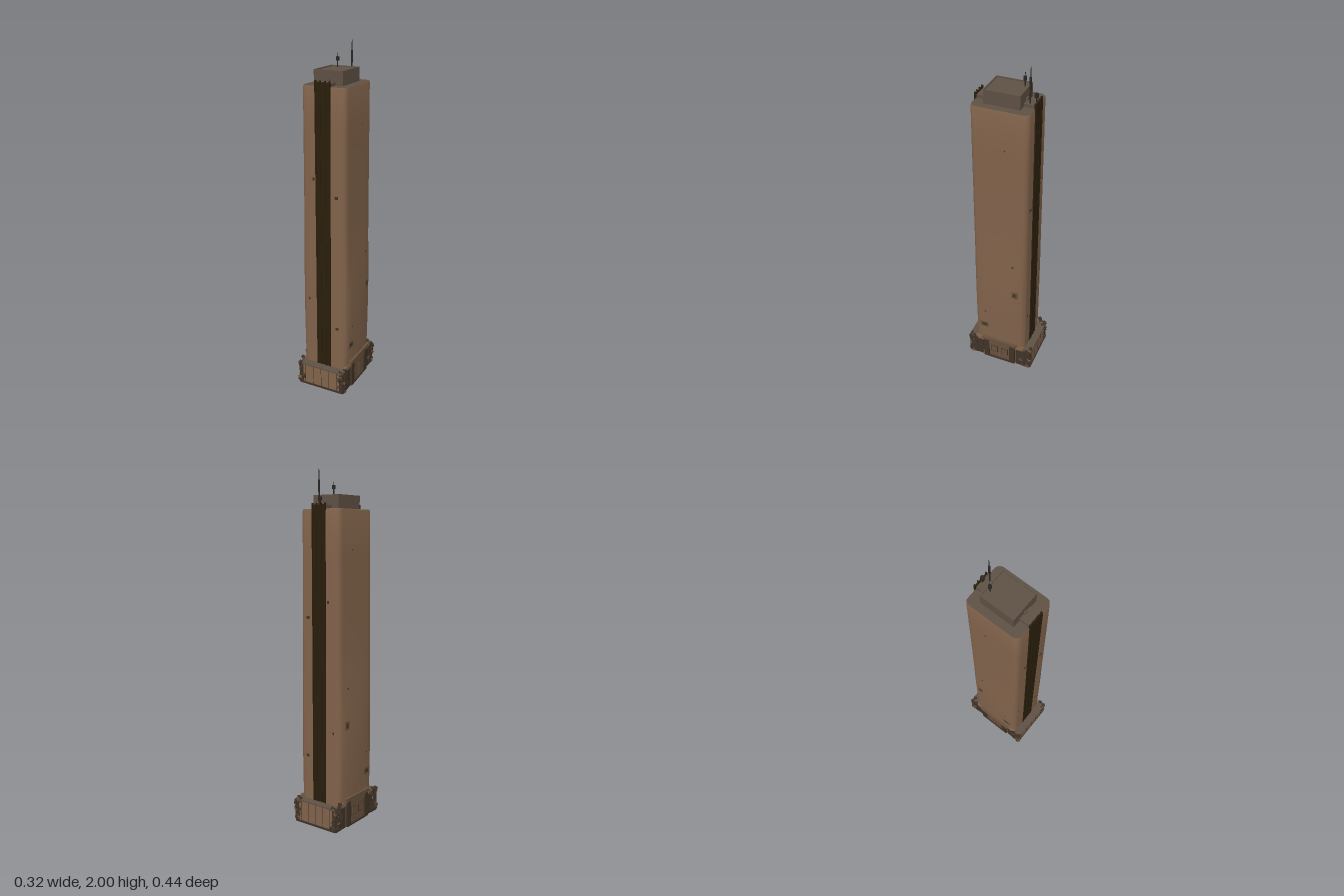
import * as THREE from 'three';
import { toCreasedNormals } from 'three/addons/utils/BufferGeometryUtils.js';

const mat = (name, color, side = THREE.FrontSide) => {
  const m = new THREE.MeshStandardMaterial({ color, side });
  m.name = name;
  return m;
};

export function createModel() {
  const stone = mat('brown stone', 0x80624a, THREE.DoubleSide);
  const roofGrey = mat('roof grey', 0x5e5044);
  const glass = mat('dark glass', 0x291e0c);
  const rubbleDark = mat('dark rubble', 0x3f3227);
  const doorBrown = mat('door brown', 0x66503c);
  const metal = mat('dark metal', 0x2a2622);

  const root = new THREE.Group();
  root.name = 'tower';
  const add = (name, geo, material, x = 0, y = 0, z = 0, parent = root) => {
    const m = new THREE.Mesh(geo, material);
    m.name = name;
    m.position.set(x, y, z);
    parent.add(m);
    return m;
  };
  // Box given by its limits
  const box = (name, material, x0, x1, y0, y1, z0, z1, parent = root) =>
    add(name, new THREE.BoxGeometry(x1 - x0, y1 - y0, z1 - z0), material,
      (x0 + x1) / 2, (y0 + y1) / 2, (z0 + z1) / 2, parent);

  // Shaft: rounded rectangles whose side walls swell outwards low down
  const rows = [ // y, half width, half depth, side bulge
    [0.02, 0.133, 0.163, 0.006], [0.15, 0.135, 0.163, 0.008], [0.3, 0.137, 0.163, 0.011],
    [0.45, 0.138, 0.163, 0.014], [0.6, 0.138, 0.163, 0.014], [0.75, 0.137, 0.163, 0.009],
    [0.9, 0.135, 0.162, 0.004], [1.05, 0.134, 0.162, 0.001], [1.3, 0.133, 0.161, 0],
    [1.55, 0.131, 0.161, 0], [1.78, 0.13, 0.16, 0], [1.79, 0.127, 0.157, 0],
  ];
  const ring = (w, d, bulge) => {
    const pts = [], r = 0.032, corners = [[1, 1], [-1, 1], [-1, -1], [1, -1]];
    corners.forEach(([sx, sz], c) => {
      for (let i = 0; i <= 6; i++) {
        const a = (c + i / 6) * Math.PI / 2;
        pts.push([sx * (w - r) + r * Math.cos(a), sz * (d - r) + r * Math.sin(a)]);
      }
      // Extra points along the straight wall that follows
      const end = c % 2 ? [-w, 1 - 2 * (c === 1)] : null;
      if (end) for (let i = 1; i < 8; i++) {
        const t = 1 - 2 * i / 8, s = c === 1 ? 1 : -1;
        pts.push([-s * w, s * t * (d - r)]);
      }
    });
    return pts.map(([x, z]) => [x + Math.sign(x) * bulge * Math.max(0, 1 - (z / d) ** 2)
      * Math.min(1, Math.abs(x) / w) ** 4, z]);
  };
  const pos = [], idx = [];
  const n = ring(0.13, 0.16, 0).length;
  rows.forEach(([y, w, d, b]) => ring(w, d, b).forEach(([x, z]) => pos.push(x, y, z)));
  for (let j = 0; j < rows.length - 1; j++) for (let i = 0; i < n; i++) {
    const a = j * n + i, b = j * n + (i + 1) % n;
    idx.push(a, a + n, b, b, a + n, b + n);
  }
  let shaft = new THREE.BufferGeometry();
  shaft.setAttribute('position', new THREE.Float32BufferAttribute(pos, 3));
  shaft.setIndex(idx);
  shaft = toCreasedNormals(shaft, 0.6);
  add('shaft', shaft, stone);

  // Roof deck with the same rounded outline
  const deck = new THREE.Shape(ring(0.127, 0.157, 0).map(([x, z]) => new THREE.Vector2(x, -z)));
  add('roofDeck', new THREE.ShapeGeometry(deck).rotateX(-Math.PI / 2), roofGrey, 0, 1.79, 0);

  // Plant room with a low parapet
  box('plantRoom', roofGrey, -0.085, 0.085, 1.788, 1.86, -0.098, 0.1);
  for (const s of [-1, 1]) {
    box('parapetSide', roofGrey, s * 0.082 - 0.003, s * 0.082 + 0.003, 1.86, 1.866, -0.098, 0.1);
    box('parapetEnd', roofGrey, -0.079, 0.079, 1.86, 1.866, s * 0.096 - 0.002, s * 0.096 + 0.004);
  }

  // Front and back: glazed strip, roof bridge and entrance block
  for (const s of [1, -1]) {
    const face = new THREE.Group();
    face.name = s > 0 ? 'frontFace' : 'backFace';
    if (s < 0) face.rotation.y = Math.PI;
    root.add(face);
    box('glassStrip', glass, -0.044, 0.044, 0.13, 1.812, 0.156, 0.165, face);
    for (const x of [-0.042, -0.015, 0.015, 0.042])
      box('stripRib', glass, x - 0.003, x + 0.003, 0.13, 1.82, 0.156, 0.168, face);
    box('roofBridge', roofGrey, -0.042, 0.042, 1.788, 1.808, 0.1, 0.157, face);
    box('roofHatch', roofGrey, -0.01, 0.01, 1.808, 1.822, 0.098, 0.108, face);
    box('baseBlock', stone, -0.135, 0.135, 0.004, 0.13, 0.155, 0.207, face);
    box('baseCap', roofGrey, -0.138, 0.138, 0.13, 0.138, 0.155, 0.211, face);
    for (const x of [-0.105, -0.052, 0, 0.052, 0.105])
      box('panelJoint', rubbleDark, x - 0.0012, x + 0.0012, 0.004, 0.138, 0.206, 0.2085, face);
    box('plinth', rubbleDark, -0.14, 0.14, 0, 0.012, 0.155, 0.211, face);
  }

  // Sides: porch with double doors
  for (const s of [1, -1]) {
    const porch = new THREE.Group();
    porch.name = s > 0 ? 'leftPorch' : 'rightPorch';
    porch.rotation.y = s * Math.PI / 2; // local z points outwards
    root.add(porch);
    box('porchWall', stone, -0.165, 0.165, 0, 0.15, 0.128, 0.143, porch);
    box('canopy', doorBrown, -0.115, 0.115, 0.15, 0.172, 0.135, 0.157, porch);
    box('lintel', doorBrown, -0.105, 0.105, 0.122, 0.15, 0.135, 0.153, porch);
    for (const t of [-1, 1]) {
      box('pier', rubbleDark, t * 0.088 - 0.017, t * 0.088 + 0.017, 0, 0.15, 0.135, 0.155, porch);
      box('door', doorBrown, t * 0.035 - 0.033, t * 0.035 + 0.033, 0.012, 0.118, 0.14, 0.147, porch);
      box('doorFrame', rubbleDark, t * 0.035 - 0.023, t * 0.035 + 0.023, 0.054, 0.104, 0.145, 0.149, porch);
      box('doorPanel', doorBrown, t * 0.035 - 0.019, t * 0.035 + 0.019, 0.058, 0.1, 0.147, 0.151, porch);
      box('sideWall', rubbleDark, t * 0.16 - 0.048, t * 0.16 + 0.048, 0, 0.125, 0.12, 0.146, porch);
    }
    box('doorStep', rubbleDark, -0.105, 0.105, 0, 0.01, 0.13, 0.155, porch);
  }

  // Broken masonry heaped on the four corners
  let seed = 7;
  const rnd = () => (seed = (seed * 16807) % 2147483647) / 2147483647;
  for (const sx of [-1, 1]) for (const sz of [-1, 1]) {
    const heap = new THREE.Group();
    heap.name = 'cornerRubble';
    root.add(heap);
    box('cornerCore', rubbleDark, sx * 0.131 - 0.017, sx * 0.131 + 0.017, 0, 0.135,
      sz * 0.18 - 0.026, sz * 0.18 + 0.026, heap);
    for (let i = 0; i < 34; i++) {
      const h = i / 34, size = 0.008 + rnd() * 0.013, along = rnd();
      const onEnd = i % 2;
      const x = onEnd ? 0.11 + along * 0.036 : 0.138 + rnd() * 0.01;
      const z = onEnd ? 0.198 + rnd() * 0.007 : 0.145 + along * 0.056;
      const g = new THREE.BoxGeometry(size, size * (0.7 + rnd()), size);
      const y = 0.013 + h * 0.132 + (h > 0.85 ? (0.2 - z) * 0.3 : 0);
      add('brokenStone', g, i % 5 ? rubbleDark : doorBrown, sx * x, y, sz * z, heap)
        .rotation.set(rnd() * 0.5, rnd() * 1.5, rnd() * 0.5);
    }
  }

  // Small damage patches on the walls: along the wall, height, size
  const halfWidth = (y, z) => {
    const k = Math.max(1, rows.findIndex(r => r[0] >= y)), [p, q] = [rows[k - 1], rows[k]];
    const t = (y - p[0]) / (q[0] - p[0]), mix = i => p[i] + (q[i] - p[i]) * t;
    return mix(1) + mix(3) * (1 - (z / mix(2)) ** 2);
  };
  for (const s of [1, -1]) {
    for (const [z, y, w, h] of [[-0.1, 0.6, 0.036, 0.05], [0.1, 0.28, 0.06, 0.04],
      [-0.085, 0.81, 0.014, 0.014], [-0.035, 1.57, 0.01, 0.01], [0.09, 0.4, 0.012, 0.012]]) {
      const x = s * halfWidth(y, z);
      box('wallPatch', doorBrown, x - 0.002, x + 0.002, y - h / 2, y + h / 2, z - w / 2, z + w / 2);
      box('wallHole', rubbleDark, x - 0.003, x + 0.003, y - h / 4, y + h / 4, z - w / 4, z + w / 4);
    }
    for (const [x, y, w] of [[0.08, 1.2, 0.018], [-0.06, 1.29, 0.012], [-0.095, 0.56, 0.01], [0.085, 0.4, 0.02]])
      box('wallPatch', rubbleDark, x - w / 2, x + w / 2, y - 0.008, y + 0.008, s * 0.162 - 0.002, s * 0.162 + 0.002);
  }

  // Roof masts
  const rod = (name, r0, r1, y0, y1, x, z) =>
    add(name, new THREE.CylinderGeometry(r1, r0, y1 - y0, 10), metal, x, (y0 + y1) / 2, z);
  rod('tallMast', 0.004, 0.004, 1.79, 1.88, 0.025, -0.127);
  rod('tallMastSleeve', 0.006, 0.006, 1.88, 1.945, 0.025, -0.127);
  rod('tallMastTip', 0.003, 0.0015, 1.945, 2, 0.025, -0.127);
  rod('roofMast', 0.003, 0.003, 1.86, 1.9, -0.035, -0.075);
  rod('roofMastHead', 0.009, 0.009, 1.895, 1.915, -0.035, -0.075);
  rod('roofMastTip', 0.002, 0.002, 1.915, 1.935, -0.035, -0.075);
  rod('rearMast', 0.004, 0.004, 1.79, 1.835, 0, -0.15);
  rod('rearMastHead', 0.011, 0.011, 1.832, 1.852, 0, -0.15);

  return root;
}
